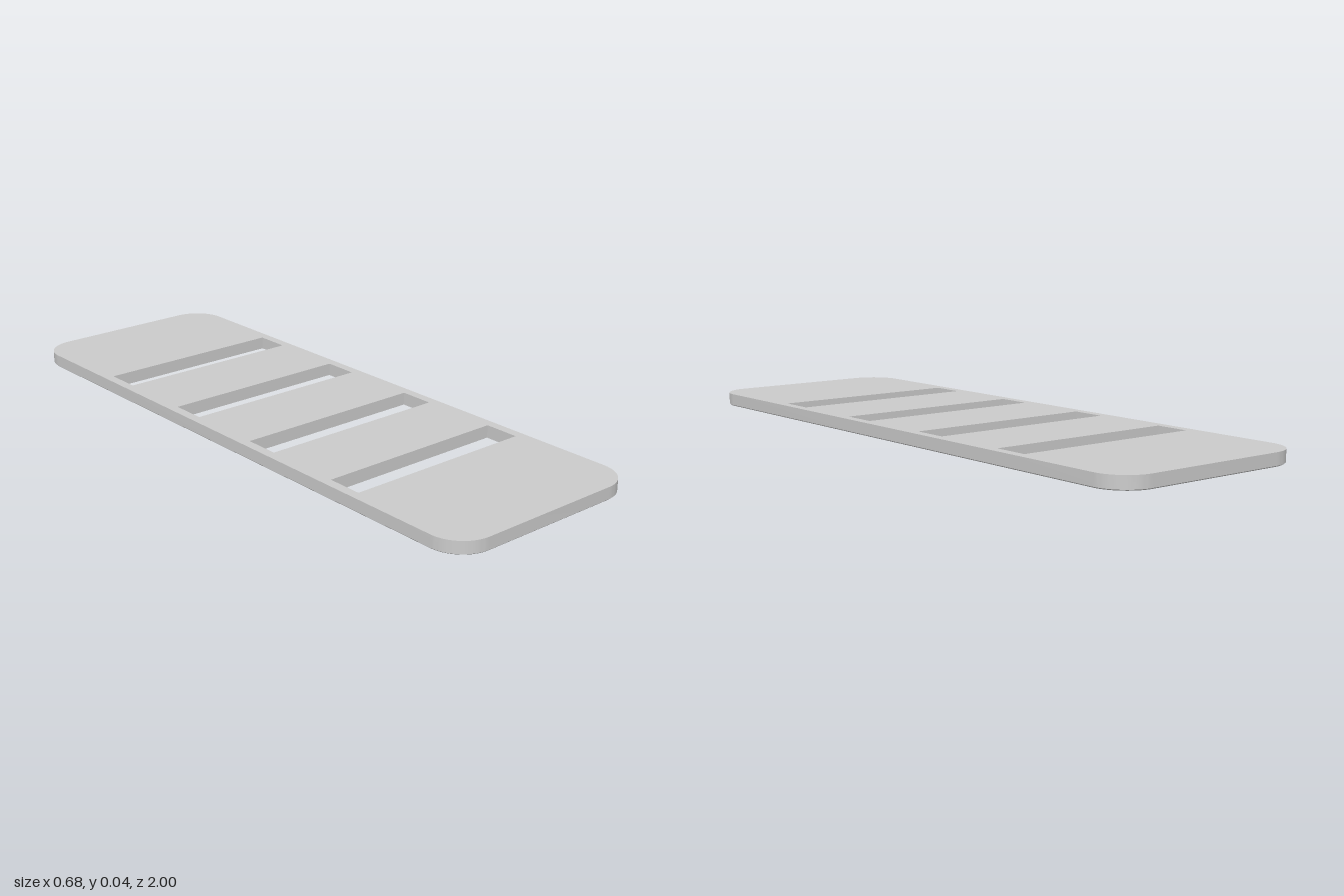
import * as THREE from 'three';
import { toCreasedNormals } from 'three/addons/utils/BufferGeometryUtils.js';

const W = 0.34, L = 1, H = 0.04, R = 0.105, CHAMFER = 0.003;

// Rounded rectangle outline
function plateOutline() {
  const s = new THREE.Shape();
  s.absarc(W - R, L - R, R, 0, Math.PI / 2);
  s.absarc(R - W, L - R, R, Math.PI / 2, Math.PI);
  s.absarc(R - W, R - L, R, Math.PI, Math.PI * 1.5);
  s.absarc(W - R, R - L, R, Math.PI * 1.5, Math.PI * 2);
  s.closePath();
  return s;
}

// Rectangular slot across the plate, centred at z
function slot(z, halfX = 0.31, halfZ = 0.056) {
  return new THREE.Path([
    [-halfX, -z - halfZ], [-halfX, -z + halfZ], [halfX, -z + halfZ], [halfX, -z - halfZ],
  ].map(([x, y]) => new THREE.Vector2(x, y)));
}

export function createModel() {
  const group = new THREE.Group();
  const shape = plateOutline();
  for (let i = 0; i < 4; i++) shape.holes.push(slot(-0.544 + i * 0.36));

  let geometry = new THREE.ExtrudeGeometry(shape, { depth: H, steps: 2, bevelEnabled: false, curveSegments: 10 });
  geometry.rotateX(-Math.PI / 2);

  // Small chamfer around the lower outer edge
  const p = geometry.attributes.position;
  for (let i = 0; i < p.count; i++) {
    const x = p.getX(i), y = p.getY(i), z = p.getZ(i);
    if (Math.abs(y - H / 2) < 1e-4) p.setY(i, CHAMFER);
    const outer = Math.abs(x) > 0.312 || Math.abs(z) > 0.65;
    if (y < 1e-4 && outer) {
      p.setX(i, x * (1 - CHAMFER / W));
      p.setZ(i, z * (1 - CHAMFER / L));
    }
  }
  geometry = toCreasedNormals(geometry, Math.PI / 6);

  const plate = new THREE.Mesh(geometry, new THREE.MeshStandardMaterial({ color: 0xcccccc }));
  plate.name = 'slottedPlate';
  group.add(plate);
  return group;
}
